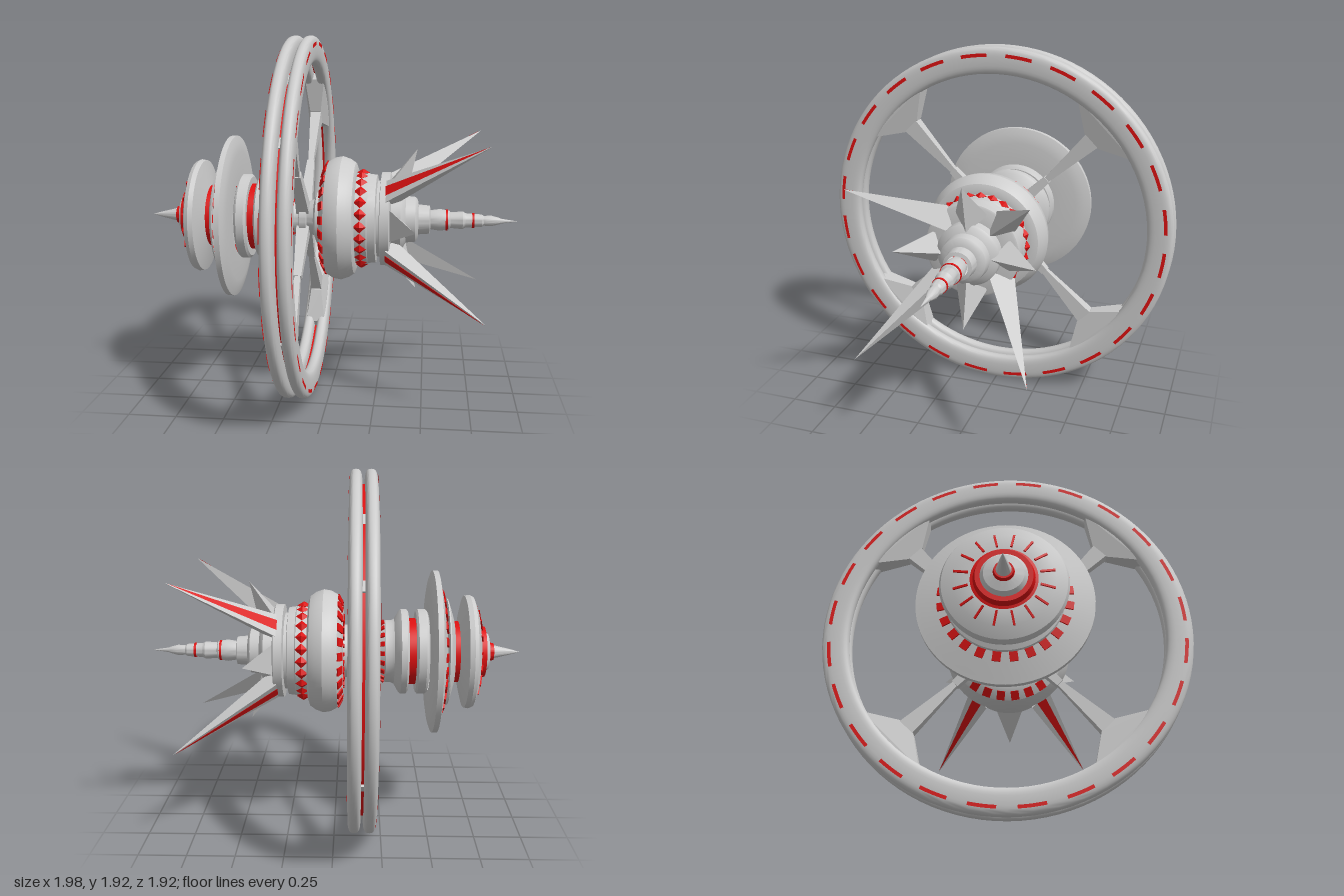
import * as THREE from 'three';
import { toCreasedNormals } from 'three/addons/utils/BufferGeometryUtils.js';
import { ConvexGeometry } from 'three/addons/geometries/ConvexGeometry.js';

const AXIS = 0.9625; // height of the long axis
const WHEEL_X = -0.147;
const grey = new THREE.MeshStandardMaterial({ color: 0xcccccc, side: THREE.DoubleSide });
const red = new THREE.MeshStandardMaterial({ color: 0xdd1111, side: THREE.DoubleSide });
const V = (x, y, z) => new THREE.Vector3(x, y, z);

export function createModel() {
  const model = new THREE.Group();
  const body = new THREE.Group();
  body.name = 'station';
  body.position.y = AXIS;
  model.add(body);

  const add = (name, geometry, material, parent = body) => {
    const mesh = new THREE.Mesh(geometry, material);
    mesh.name = name;
    parent.add(mesh);
    return mesh;
  };

  // Turned part: profile of [x, radius] spun around the x axis
  const spin = (name, profile, material = grey, segments = 64) => {
    const pts = profile.map(([x, r]) => new THREE.Vector2(r, x));
    const geo = new THREE.LatheGeometry(pts, segments).rotateZ(-Math.PI / 2);
    return add(name, toCreasedNormals(geo, 0.5), material);
  };

  // Repeat a geometry, made at the top (+y), around the x axis
  const around = (name, count, offset, geometry, material) => {
    const group = new THREE.Group();
    group.name = name;
    for (let i = 0; i < count; i++) {
      add(name + 'Piece', geometry, material, group).rotation.x = ((i + offset) / count) * Math.PI * 2;
    }
    body.add(group);
  };

  // Small red block from profile point a to b, of given tangential width
  const dashes = (name, count, a, b, width, thick = 0.012, offset = 0.5) => {
    const dx = b[0] - a[0], dr = b[1] - a[1];
    const geo = new THREE.BoxGeometry(Math.hypot(dx, dr), thick, width);
    geo.rotateZ(Math.atan2(dr, dx)).translate((a[0] + b[0]) / 2, (a[1] + b[1]) / 2, 0);
    around(name, count, offset, geo, red);
  };

  // Block tapering between two rectangular sections [radius, half width, half thickness]
  const taper = (a, b) => new ConvexGeometry([a, b].flatMap(([r, w, t]) =>
    [[1, 1], [1, -1], [-1, 1], [-1, -1]].map(([i, j]) => V(WHEEL_X + i * t, r, j * w))));

  // Rear nose and discs
  spin('tailCone', [[-0.99, 0], [-0.95, 0.012], [-0.85, 0.036], [-0.85, 0]]);
  spin('tailCollar', [[-0.85, 0], [-0.85, 0.045], [-0.83, 0.05]], red);
  spin('tailCap', [[-0.83, 0.05], [-0.82, 0.095], [-0.795, 0.115]]);
  spin('tailRedBand', [[-0.8, 0.1], [-0.8, 0.135], [-0.77, 0.145], [-0.765, 0.17]], red);
  spin('rearDisc', [[-0.765, 0.12], [-0.768, 0.17], [-0.755, 0.24], [-0.735, 0.295], [-0.715, 0.305],
    [-0.69, 0.3], [-0.675, 0.24], [-0.662, 0.18], [-0.655, 0.15]]);
  dashes('rearDiscTicks', 16, [-0.77, 0.17], [-0.757, 0.24], 0.01);
  spin('rearRedNeck', [[-0.665, 0.165], [-0.625, 0.165]], red);
  spin('middleDisc', [[-0.635, 0.15], [-0.63, 0.19], [-0.615, 0.24], [-0.6, 0.285], [-0.592, 0.29], [-0.585, 0.22]]);
  spin('largeDisc', [[-0.59, 0.2], [-0.578, 0.27], [-0.565, 0.34], [-0.55, 0.41], [-0.545, 0.435], [-0.517, 0.435],
    [-0.505, 0.4], [-0.497, 0.35], [-0.497, 0.21]]);
  dashes('largeDiscDashes', 24, [-0.581, 0.27], [-0.57, 0.33], 0.04);

  // Middle drum and neck
  spin('drumRear', [[-0.497, 0.2], [-0.49, 0.22], [-0.48, 0.228], [-0.44, 0.228], [-0.43, 0.215], [-0.43, 0.16]]);
  spin('drumGroove', [[-0.435, 0.178], [-0.385, 0.178]], red);
  spin('drumFront', [[-0.39, 0.16], [-0.39, 0.215], [-0.38, 0.228], [-0.35, 0.228], [-0.338, 0.215],
    [-0.315, 0.175], [-0.3, 0.168], [-0.27, 0.168], [-0.25, 0.155], [-0.225, 0.14], [-0.215, 0.09]]);
  dashes('neckDashes', 20, [-0.262, 0.166], [-0.232, 0.146], 0.024);
  spin('hub', [[-0.23, 0.1], [-0.2, 0.085], [-0.17, 0.085], [-0.165, 0.1], [-0.13, 0.1], [-0.125, 0.085],
    [-0.09, 0.1], [-0.075, 0.14], [-0.03, 0.145]]);
  dashes('hubTicks', 16, [-0.225, 0.1], [-0.2, 0.087], 0.014);

  // Front bulb, studded band and flange
  spin('frontBulb', [[-0.045, 0.13], [-0.045, 0.235], [-0.035, 0.27], [-0.015, 0.305], [0.02, 0.325], [0.06, 0.332],
    [0.1, 0.318], [0.13, 0.297], [0.14, 0.27], [0.14, 0.245], [0.2, 0.245], [0.205, 0.24], [0.245, 0.235],
    [0.25, 0.205], [0.265, 0.205], [0.27, 0.25], [0.315, 0.25], [0.32, 0.24], [0.325, 0.15]]);
  dashes('bulbDashes', 24, [-0.04, 0.262], [-0.018, 0.304], 0.042);
  dashes('bulbRearTicks', 24, [-0.046, 0.15], [-0.046, 0.2], 0.014);
  around('diamondStuds', 24, 0, new THREE.OctahedronGeometry(1).scale(0.034, 0.02, 0.032).translate(0.168, 0.247, 0), red);

  // Stepped front spire
  spin('spireBase', [[0.31, 0.165], [0.375, 0.165], [0.385, 0.155], [0.4, 0.125], [0.45, 0.12], [0.462, 0.105], [0.467, 0.08],
    [0.525, 0.075], [0.53, 0.056]]);
  spin('spire', [[0.525, 0.05], [0.58, 0.058], [0.63, 0.05], [0.635, 0.042], [0.7, 0.047], [0.715, 0.038],
    [0.76, 0.036], [0.8, 0.033], [0.81, 0.026], [0.85, 0.028], [0.89, 0.018], [0.9, 0.013], [0.99, 0]], grey, 32);
  for (const [x, r] of [[0.616, 0.055], [0.755, 0.039]]) {
    spin('spireRing', [[x - 0.006, r - 0.01], [x - 0.006, r], [x + 0.006, r], [x + 0.006, r - 0.01]], red, 32);
  }

  // Four long diagonal spikes with a red outer stripe, four short ones between
  const spike = (tip, base, half, ridge) => new ConvexGeometry([V(...tip, 0), V(...base, half), V(...base, -half), V(...ridge, 0)]);
  around('longSpikes', 4, 0.5, spike([0.81, 0.622], [0.3, 0.25], 0.068, [0.34, 0.13]), grey);
  around('longSpikeStripes', 4, 0.5, spike([0.8, 0.619], [0.297, 0.254], 0.03, [0.31, 0.23]), red);
  around('shortSpikes', 4, 0, spike([0.456, 0.378], [0.315, 0.2], 0.085, [0.4, 0.13]), grey);

  // Wheel: two rounded rims with a red band in the gap
  for (const side of [-1, 1]) {
    const rim = [];
    for (let i = 0; i <= 28; i++) {
      const a = Math.PI - (i / 28) * Math.PI * 2;
      const c = Math.cos(a), s = Math.sin(a);
      rim.push([WHEEL_X + side * 0.0395 + 0.033 * Math.sign(c) * Math.abs(c) ** 0.7,
        0.8925 + 0.07 * Math.sign(s) * Math.abs(s) ** 0.7]);
    }
    spin('wheelRim', rim, grey, 96);
    const x = WHEEL_X + side * 0.0715;
    // Curved dash plates on the outer face of each rim
    const plate = new THREE.RingGeometry(0.914, 0.932, 6, 1, Math.PI / 2 - 0.076, 0.152);
    around('rimDashes', 24, 0.5, plate.rotateY(Math.PI / 2).translate(x + side * 0.002, 0, 0), red);
  }
  spin('rimRedBand', [[WHEEL_X - 0.02, 0.885], [WHEEL_X + 0.02, 0.885]], red, 96);

  // Spokes: flared foot at the rim, tapering blade, thicker root at the hub
  around('spokeFoot', 4, 0.5, taper([0.71, 0.05, 0.03], [0.815, 0.21, 0.055]), grey);
  around('spokeFootRoot', 4, 0.5, taper([0.815, 0.21, 0.055], [0.87, 0.22, 0.06]), grey);
  around('spokeBlade', 4, 0.5, taper([0.36, 0.014, 0.014], [0.74, 0.048, 0.032]), grey);
  around('spokeRoot', 4, 0.5, taper([0.06, 0.035, 0.035], [0.38, 0.02, 0.02]), grey);

  return model;
}
